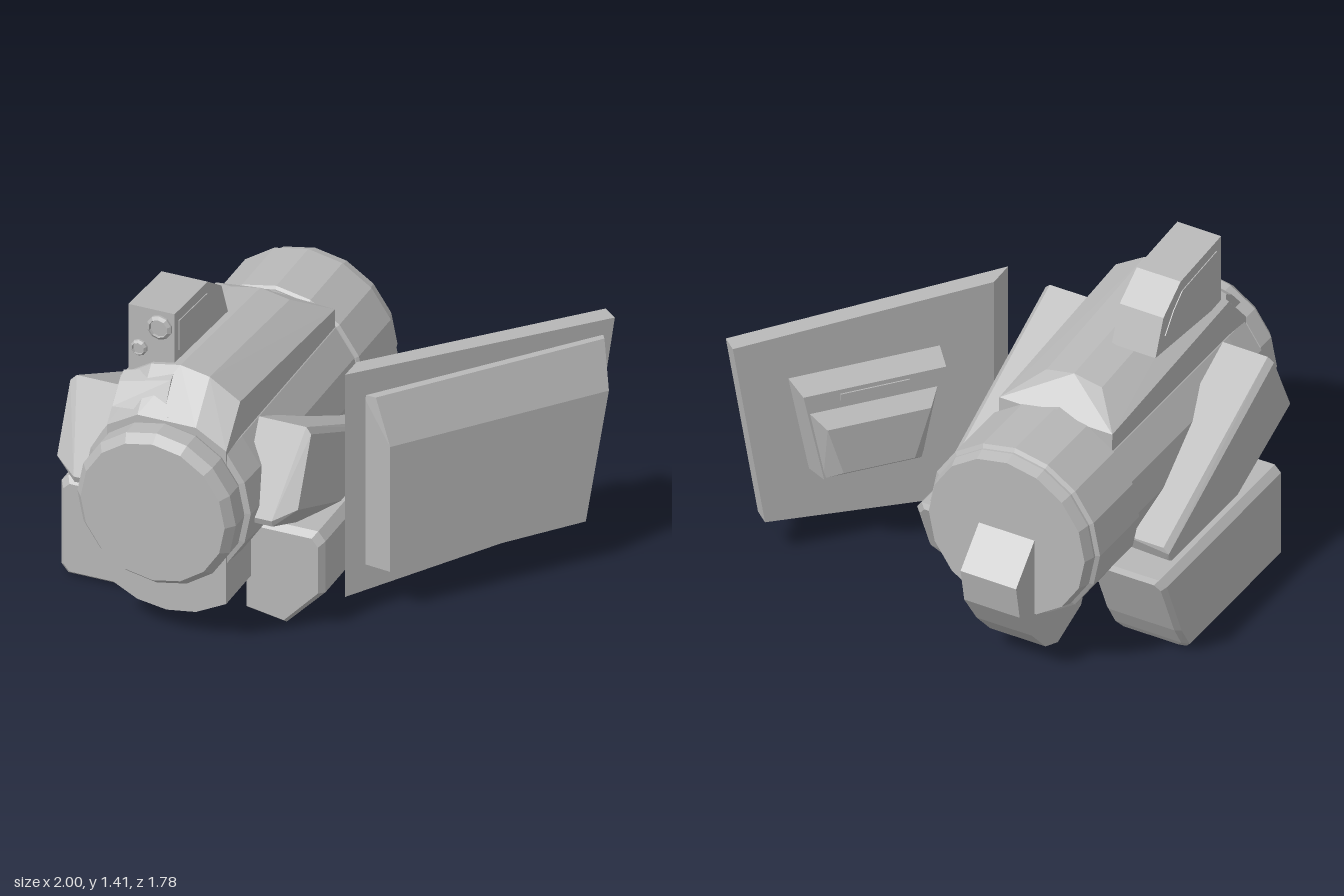
import * as THREE from 'three';
import { ConvexGeometry } from 'three/addons/geometries/ConvexGeometry.js';

const grey = new THREE.MeshStandardMaterial({ color: 0xb8b8b8 });
grey.name = 'grey';
const CX = -0.41, CY = 0.645; // axis of the barrel-shaped body

export function createModel() {
  const model = new THREE.Group();
  model.name = 'shieldedPod';

  const add = (name, geometry, parent = model) => {
    const g = geometry.index ? geometry.toNonIndexed() : geometry;
    g.computeVertexNormals(); // faceted look
    const mesh = new THREE.Mesh(g, grey);
    mesh.name = name;
    parent.add(mesh);
    return mesh;
  };
  const hull = (name, pts, parent) =>
    add(name, new ConvexGeometry(pts.map(p => new THREE.Vector3(...p))), parent);
  // Turned part along z: profile of [radius, z] from back to front
  const turned = (name, profile, x, y, sides = 16) => {
    const g = new THREE.LatheGeometry(profile.map(p => new THREE.Vector2(...p)), sides);
    g.rotateX(Math.PI / 2).translate(x, y, 0);
    return add(name, g);
  };
  // Side outline of [z, y] extruded across x from x0 to x1
  const slab = (name, outline, x0, x1) => {
    const s = new THREE.Shape(outline.map(([z, y]) => new THREE.Vector2(-z, y)));
    const g = new THREE.ExtrudeGeometry(s, { depth: x1 - x0, bevelEnabled: false });
    g.rotateY(Math.PI / 2).translate(x0, 0, 0);
    return add(name, g);
  };

  // Round body, rear drum and front cap
  turned('barrel', [[0, -0.4], [0.38, -0.4], [0.38, 0.6], [0.37, 0.74], [0.33, 0.75], [0, 0.75]], CX, CY);
  turned('rearDrum', [[0, -0.74], [0.365, -0.74], [0.38, -0.69], [0.38, -0.68], [0.397, -0.67],
    [0.397, -0.35], [0.385, -0.34], [0, -0.34]], CX, CY);
  turned('frontCap', [[0, 0.74], [0.34, 0.74], [0.352, 0.765], [0.352, 0.85], [0.32, 0.89], [0, 0.89]], CX, CY);

  // Tall central spine with a rounded top and bottom
  const spine = [];
  for (const s of [-1, 1]) {
    for (const [dx, top, low] of [[0, 1.19, 0.11], [0.13, 1.165, 0.13], [0.265, 1.08, 0.2]]) {
      const x = CX + s * dx;
      spine.push([x, top, 0.61], [x, Math.min(top - 0.07, 1.12), -0.19], [x, 1.0, -0.34],
        [x, Math.min(top - 0.16, 1.0), 0.75], [x, low, 0.75], [x, low, -0.19], [x, low + 0.1, -0.36]);
    }
  }
  hull('spine', spine);

  // Visor panel on the sloping front of the spine
  hull('visor', [-0.66, -0.43].flatMap((x, i) => [
    [x, 1.11 + i * 0.06, 0.615], [x, 1.0 + i * 0.02, 0.73], [x, 1.0, 0.6],
    [x, 1.08 + i * 0.06, 0.66]]));

  // Sight housing with side panels and two lenses
  slab('sightHousing', [[0.59, 1.41], [0.26, 1.385], [0.12, 1.29], [0.055, 1.13], [0.59, 1.08]], -0.65, -0.445);
  for (const x of [-0.654, -0.445])
    slab('sightSidePanel', [[0.55, 1.36], [0.27, 1.335], [0.2, 1.28], [0.13, 1.195], [0.55, 1.22]], x, x + 0.004);
  for (const [x, y, r] of [[-0.51, 1.335, 0.055], [-0.6, 1.22, 0.036]])
    turned('lens', [[r, 0.58], [r, 0.6], [r * 0.75, 0.61], [r * 0.7, 0.6], [0, 0.6]], x, y, 10);

  // Curved hook wrapping around the back and underside
  slab('rearHook', [[-0.72, 0.69], [-0.89, 0.52], [-0.86, 0.36], [-0.76, 0.21], [-0.65, 0.09], [-0.55, 0.05],
    [-0.36, 0.12], [-0.3, 0.25], [-0.55, 0.25], [-0.66, 0.31], [-0.72, 0.42]], -0.54, -0.28);

  // Sloping side arms, mirrored about the body axis
  for (const s of [-1, 1]) {
    const X = d => CX + s * d;
    const pts = [];
    for (const [d, inset] of [[0.3, 0], [0.51, 0], [0.535, 0.025]]) {
      pts.push([X(d), 0.96 - inset, 0.5 + inset * 0.3], [X(d), 0.53 - inset, -0.35]);
    }
    pts.push([X(0.535), 0.65, 0.64], [X(0.535), 0.27, -0.22]);
    for (const d of [0.3, 0.44])
      pts.push([X(d), 0.6, 0.69], [X(d), 0.57, 0.68], [X(d), 0.42, 0.35], [X(d), 0.17, -0.2]);
    hull(s > 0 ? 'leftArm' : 'rightArm', pts);
  }

  // Skids: section of [x, y], with the rear end sloping forward towards the ground
  const rear = y => (y < 0.14 ? -0.27 - y * 0.7 : -0.36 - (y - 0.14) * 0.42);
  const skid = (name, section, mid) => {
    const pts = [];
    for (const [x, y] of section) {
      const inX = mid + (x - mid) * 0.88, inY = 0.23 + (y - 0.23) * 0.9;
      pts.push([x, y, 0.47], [x, y, rear(y) + 0.02], [inX, inY, 0.5], [inX, inY, rear(inY)]);
    }
    hull(name, pts);
  };
  skid('rightSkid', [[-0.97, 0.46], [-1, 0.43], [-1, 0.14], [-1, 0.035], [-0.97, 0], [-0.68, 0], [-0.65, 0.035],
    [-0.65, 0.14], [-0.65, 0.46]], -0.825);
  skid('leftSkid', [[0.14, 0.46], [0.172, 0.42], [0.172, 0.18], [0, 0], [-0.18, 0.03], [-0.18, 0.14],
    [-0.18, 0.46]], 0);

  // Shield: local x along the plate, z towards its outer face
  const shield = new THREE.Group();
  shield.name = 'shield';
  shield.rotation.y = 0.885;
  model.add(shield);
  hull('shieldPlate', [
    [-0.125, 1.13, 0.35], [1.1, 1.075, 0.355], [0.96, 0.18, 0.355], [-0.125, 0.08, 0.35],
    [-0.035, 1.125, 0.274], [1.1, 1.075, 0.274], [0.96, 0.18, 0.274], [-0.035, 0.085, 0.274]], shield);
  hull('shieldFrontPanel', [
    [-0.04, 1.01, 0.34], [1.05, 1.01, 0.34], [0.94, 0.21, 0.34], [-0.04, 0.21, 0.34],
    [0.0, 1.005, 0.38], [1.04, 1.005, 0.38],
    [0.03, 0.8, 0.45], [1.025, 0.8, 0.45], [0.92, 0.21, 0.45], [0.03, 0.21, 0.45]], shield);
  hull('shieldFrontRim', [
    [-0.04, 0.25, 0.34], [-0.04, 0.21, 0.34], [0.93, 0.21, 0.34],
    [0.0, 0.25, 0.385], [0.0, 0.21, 0.385], [0.93, 0.21, 0.385]], shield);

  // Stepped mount on the inner face of the shield
  const block = (name, x0, x1, y0, y1, z0, z1, shrink, taper) => hull(name, [[z0, 0], [z1, shrink]].flatMap(([z, k]) => [
    [x0 + k, y1 - k, z], [x1 - k, y1 - k, z], [x1 - k - taper, y0 + k, z], [x0 + k + taper, y0 + k, z]]), shield);
  block('mountBase', 0.2, 0.86, 0.4, 0.87, 0.28, 0.15, 0.02, 0.09);
  block('mountBlock', 0.25, 0.82, 0.42, 0.77, 0.16, 0.085, 0.06, 0.07);
  block('mountSlot', 0.38, 0.68, 0.8, 0.83, 0.152, 0.144, 0, 0);

  return model;
}
